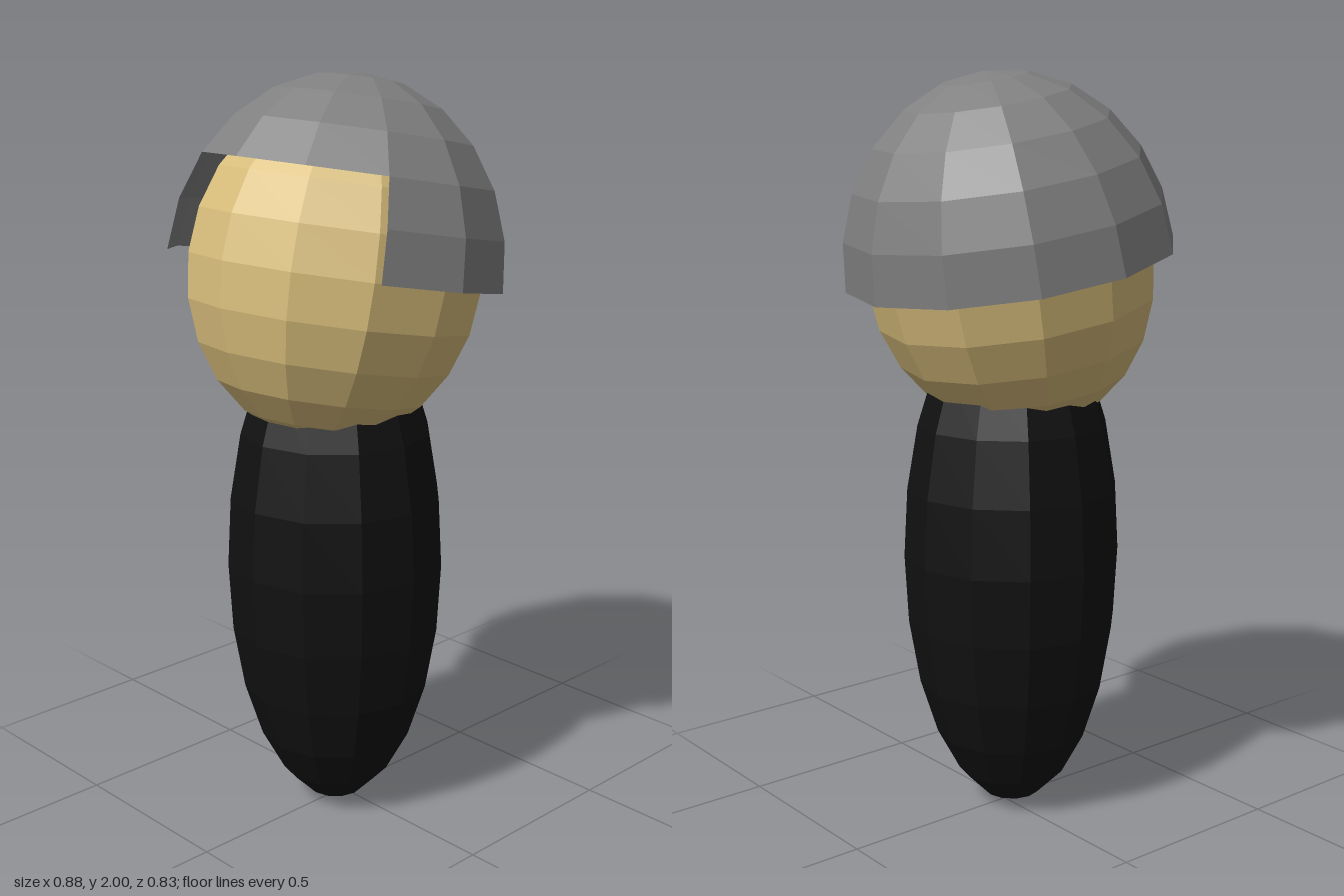
import * as THREE from 'three';
import { mergeGeometries } from 'three/addons/utils/BufferGeometryUtils.js';

const SIDES = 12;
const STEP = Math.PI / 12; // angle between rings
const TILT = -0.183; // head leans back

function part(name, geometry, color, radius, halfHeight, y, z, tilt = 0) {
  const material = new THREE.MeshStandardMaterial({ color, flatShading: true });
  const mesh = new THREE.Mesh(geometry, material);
  mesh.name = name;
  mesh.scale.set(radius, halfHeight, radius);
  mesh.position.set(0, y, z);
  mesh.rotation.x = tilt;
  return mesh;
}

// Half-dome of hair: full crown, plus a lower band left open over the face
function hairGeometry() {
  const crown = new THREE.SphereGeometry(1, SIDES, 4, 0, Math.PI * 2, 0, 4 * STEP);
  const band = new THREE.SphereGeometry(1, 9, 2, Math.PI * 5 / 6, Math.PI * 1.5, 4 * STEP, 2 * STEP);
  return mergeGeometries([crown, band]);
}

export function createModel() {
  const model = new THREE.Group();
  model.name = 'figure';
  const ball = new THREE.SphereGeometry(1, SIDES, 12);

  // Tall egg-shaped body
  model.add(part('body', ball, 0x111111, 0.295, 0.72, 0.72, 0.026));

  // Head and the hair shell around it share the same lean
  model.add(part('head', ball, 0xd9be7c, 0.385, 0.448, 1.505, 0.024, TILT));
  const hair = part('hair', hairGeometry(), 0x808080, 0.44, 0.5, 1.505, 0.022, TILT);
  hair.material.side = THREE.DoubleSide;
  model.add(hair);

  return model;
}
